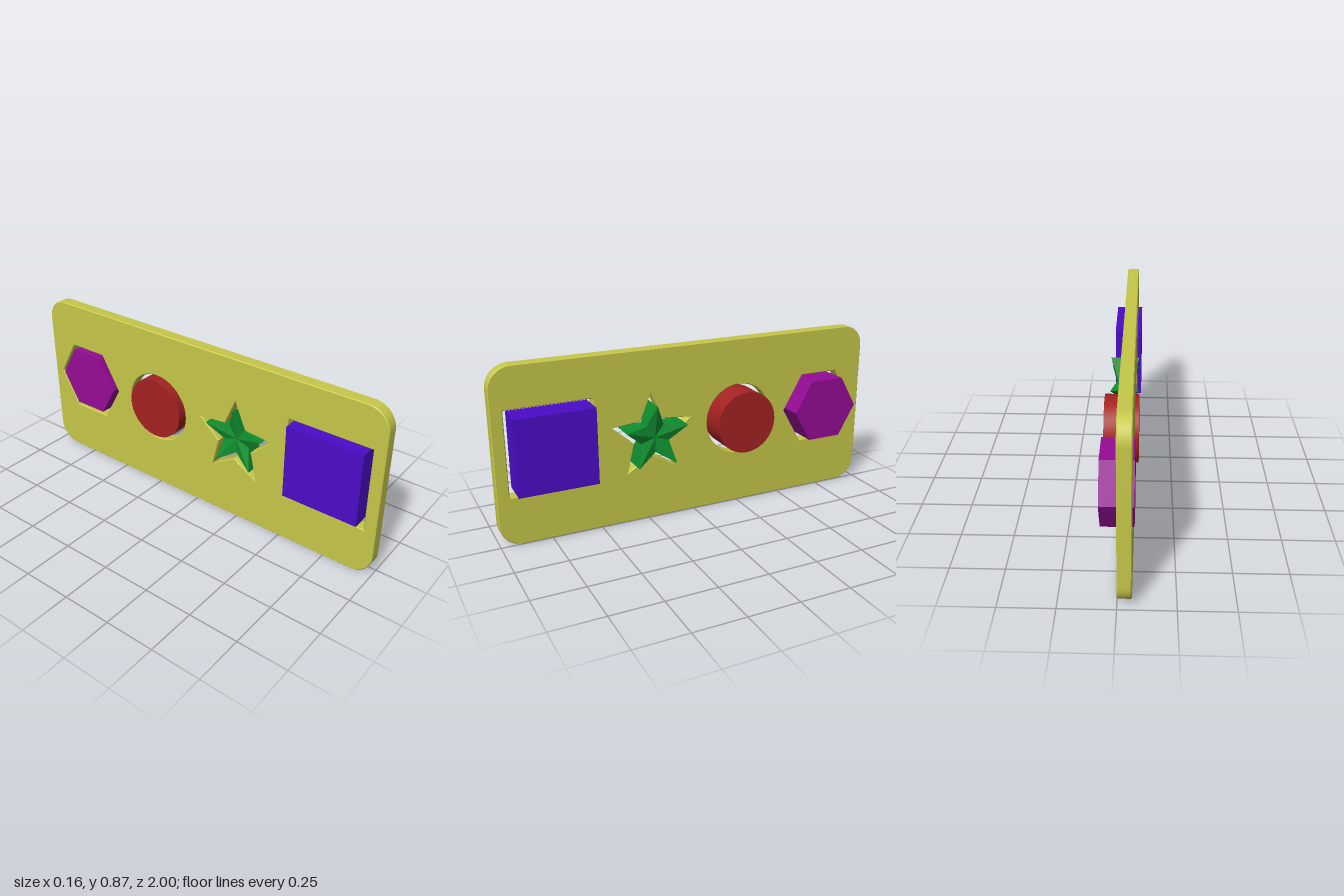
import * as THREE from 'three';
import { toCreasedNormals } from 'three/addons/utils/BufferGeometryUtils.js';

// Shapes are drawn in (u, y) with u = -z, then turned to face +x.
const CY = 0.455;

// Corner points of a regular polygon or (with a notch ratio) a star
function ring(cx, cy, radius, count, start, notch = 1) {
  return Array.from({ length: count }, (_, i) => {
    const a = start + (i / count) * Math.PI * 2;
    const r = i % 2 ? radius * notch : radius;
    return new THREE.Vector2(cx + r * Math.cos(a), cy + r * Math.sin(a));
  });
}

function rect(cx, cy, w, h) {
  return [[-1, -1], [1, -1], [1, 1], [-1, 1]].map(
    ([sx, sy]) => new THREE.Vector2(cx + sx * w / 2, cy + sy * h / 2));
}

function roundedRect(x0, y0, x1, y1, r) {
  const s = new THREE.Shape();
  s.absarc(x1 - r, y0 + r, r, -Math.PI / 2, 0);
  s.absarc(x1 - r, y1 - r, r, 0, Math.PI / 2);
  s.absarc(x0 + r, y1 - r, r, Math.PI / 2, Math.PI);
  s.absarc(x0 + r, y0 + r, r, Math.PI, Math.PI * 1.5);
  s.closePath();
  return s;
}

// Prism between two x positions
function prism(points, x0, x1) {
  const geo = new THREE.ExtrudeGeometry(new THREE.Shape(points), { depth: x1 - x0, bevelEnabled: false });
  geo.translate(0, 0, x0);
  return toCreasedNormals(geo, 0.5);
}

// Star that is thick at its tips and thinner at its notches and centre
function starBlock(cx, cy, radius, notch, x0, x1) {
  const mid = (x0 + x1) / 2, half = (x1 - x0) / 2, thin = half * 0.5;
  const pts = ring(cx, cy, radius, 10, Math.PI / 2, notch);
  const at = (i, side) => {
    const p = pts[i % 10];
    return [p.x, p.y, mid + side * (i % 2 ? thin : half)];
  };
  const pos = [];
  for (let i = 0; i < 10; i++) {
    const f0 = at(i, 1), f1 = at(i + 1, 1), b0 = at(i, -1), b1 = at(i + 1, -1);
    pos.push(...[cx, cy, mid + thin], ...f0, ...f1);
    pos.push(...[cx, cy, mid - thin], ...b1, ...b0);
    pos.push(...b0, ...b1, ...f1, ...b0, ...f1, ...f0);
  }
  const geo = new THREE.BufferGeometry();
  geo.setAttribute('position', new THREE.Float32BufferAttribute(pos, 3));
  geo.computeVertexNormals();
  return geo;
}

export function createModel() {
  const group = new THREE.Group();
  const add = (name, geo, color) => {
    geo.rotateY(Math.PI / 2);
    const mesh = new THREE.Mesh(geo, new THREE.MeshStandardMaterial({ color }));
    mesh.name = name;
    group.add(mesh);
  };

  // Board with four cut-outs and a slight edge bevel
  const board = roundedRect(-1, 0, 1, 0.87, 0.11);
  const holes = [
    rect(-0.73, CY, 0.42, 0.42),
    ring(-0.228, 0.436, 0.218, 10, Math.PI / 2, 0.45),
    ring(0.255, CY, 0.181, 48, 0),
    ring(0.737, CY, 0.209, 6, 0),
  ];
  board.holes = holes.map((pts) => new THREE.Path(pts));
  const bevel = 0.004;
  const boardGeo = new THREE.ExtrudeGeometry(board, {
    depth: 0.062 - 2 * bevel, curveSegments: 10,
    bevelThickness: bevel, bevelSize: bevel, bevelOffset: -bevel, bevelSegments: 1,
  });
  boardGeo.translate(0, 0, -0.062 + bevel);
  add('board', toCreasedNormals(boardGeo, 0.5), 0xc6c84a);

  // Loose blocks sitting in the cut-outs
  add('squareBlock', prism(rect(-0.718, 0.449, 0.387, 0.378), -0.083, 0.059), 0x4b0cc8);
  add('starBlock', starBlock(-0.225, 0.437, 0.169, 0.45, -0.075, 0.07), 0x0e8f2f);
  add('roundBlock', prism(ring(0.26, 0.453, 0.16, 48, 0), -0.08, 0.08), 0xa52222);
  add('hexagonBlock', prism(ring(0.74, CY, 0.185, 6, 0), -0.07, 0.075), 0x960c96);
  return group;
}
